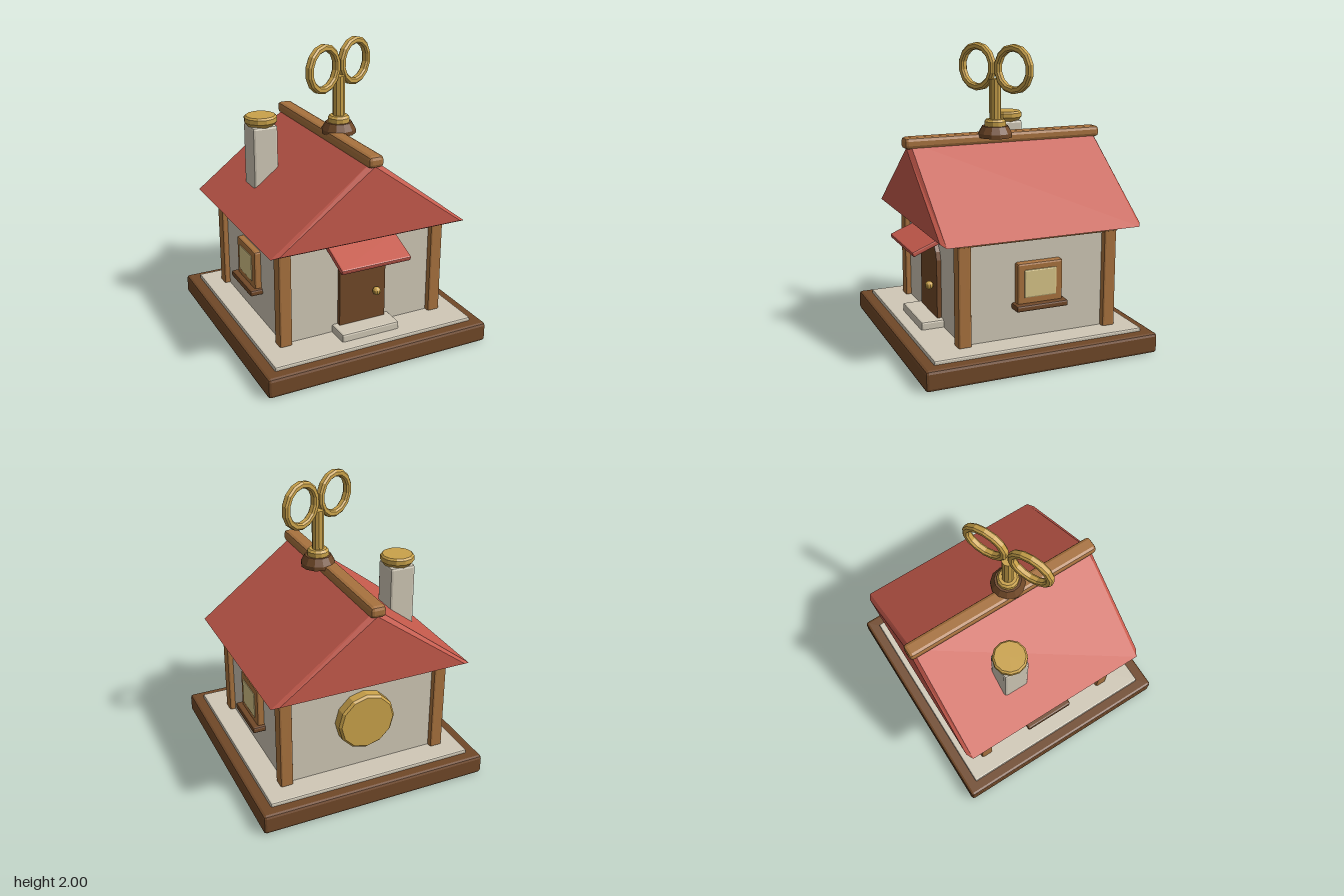
import * as THREE from 'three';
import { RoundedBoxGeometry } from 'three/addons/geometries/RoundedBoxGeometry.js';

const mat = (name, color) => {
  const m = new THREE.MeshStandardMaterial({ color });
  m.name = name;
  return m;
};

export function createModel() {
  const house = new THREE.Group();
  house.name = 'windUpHouse';
  const plaster = mat('plaster', 0xd0c8b6);
  const red = mat('roofRed', 0xc65a4c);
  const wood = mat('wood', 0xa8723e);
  const brown = mat('darkBrown', 0x704828);
  const gold = mat('brass', 0xcaa24a);
  const glass = mat('windowGlow', 0xd8c588);

  // Faceted mesh: every face gets its own normal
  const add = (name, geometry, material, x = 0, y = 0, z = 0, parent = house) => {
    const g = geometry.index ? geometry.toNonIndexed() : geometry;
    g.computeVertexNormals();
    const mesh = new THREE.Mesh(g, material);
    mesh.name = name;
    mesh.position.set(x, y, z);
    parent.add(mesh);
    return mesh;
  };
  // Bevelled box given by its min and max on each axis
  const block = (name, material, [x0, x1], [y0, y1], [z0, z1], r = 0.012, parent = house) =>
    add(name, new RoundedBoxGeometry(x1 - x0, y1 - y0, z1 - z0, 1, r), material,
      (x0 + x1) / 2, (y0 + y1) / 2, (z0 + z1) / 2, parent);
  const lathe = (points, sides) =>
    new THREE.LatheGeometry(points.map(p => new THREE.Vector2(...p)), sides);

  // Ground
  block('base', brown, [-0.8, 0.8], [0, 0.135], [-0.8, 0.8], 0.02);
  block('yard', plaster, [-0.72, 0.72], [0.1, 0.16], [-0.72, 0.72], 0.01);
  block('doorStep', plaster, [-0.21, 0.21], [0.14, 0.212], [0.45, 0.635], 0.012);

  // Walls, corner posts and top beam
  add('walls', new THREE.BoxGeometry(1.12, 0.68, 1.03), plaster, 0, 0.49, -0.035);
  for (const x of [-0.555, 0.555])
    for (const z of [-0.542, 0.474])
      block('cornerPost', wood, [x - 0.045, x + 0.045], [0.15, 0.83], [z - 0.045, z + 0.045], 0.014);
  block('topBeam', wood, [-0.607, 0.607], [0.808, 0.852], [-0.592, 0.523], 0.01);

  // Roof prism with bevelled gable ends, lofted through four triangles
  const triangle = (half, low, high, z) => [[-half, low, z], [half, low, z], [0, high, z]];
  const rings = [
    triangle(0.648, 0.862, 1.34, 0.648), triangle(0.695, 0.846, 1.378, 0.622),
    triangle(0.695, 0.846, 1.378, -0.7), triangle(0.648, 0.862, 1.34, -0.725),
  ];
  const roofPoints = [...rings[0]];
  for (let i = 0; i < 3; i++)
    for (let j = 0; j < 3; j++) {
      const k = (j + 1) % 3;
      const [a, b, c, d] = [rings[i][j], rings[i][k], rings[i + 1][j], rings[i + 1][k]];
      roofPoints.push(a, c, b, b, c, d);
    }
  roofPoints.push(rings[3][0], rings[3][2], rings[3][1]);
  const roof = new THREE.BufferGeometry();
  roof.setAttribute('position', new THREE.Float32BufferAttribute(roofPoints.flat(), 3));
  add('roof', roof, red);
  block('ridgeBeam', wood, [-0.053, 0.053], [1.335, 1.412], [-0.743, 0.67], 0.024);

  // Chimney
  block('chimney', plaster, [-0.485, -0.305], [0.97, 1.43], [-0.315, -0.135], 0.018);
  add('chimneyCap', lathe([[0, 1.42], [0.088, 1.42], [0.112, 1.45], [0.112, 1.48],
    [0.1, 1.492], [0, 1.492]], 12), gold, -0.395, 0, -0.224);

  // Door with arched top, knob and awning
  const arch = new THREE.Shape();
  arch.moveTo(-0.168, 0.2);
  arch.lineTo(0.168, 0.2);
  arch.lineTo(0.168, 0.61);
  arch.quadraticCurveTo(0.155, 0.73, 0, 0.745);
  arch.quadraticCurveTo(-0.155, 0.73, -0.168, 0.61);
  add('door', new THREE.ExtrudeGeometry(arch, { depth: 0.05, bevelEnabled: false, curveSegments: 4 }),
    brown, 0, 0, 0.46);
  add('doorKnob', new THREE.SphereGeometry(0.028, 10, 8), gold, 0.09, 0.422, 0.538);
  const awning = block('awning', red, [-0.25, 0.25], [0.717, 0.753], [0.465, 0.705], 0.01);
  awning.rotation.x = 0.38;

  // Side windows
  for (const side of [-1, 1]) {
    const win = new THREE.Group();
    win.name = side > 0 ? 'leftWindow' : 'rightWindow';
    win.rotation.y = side * Math.PI / 2;
    win.position.z = -0.036;
    house.add(win);
    block('windowFrame', wood, [-0.158, 0.158], [0.37, 0.665], [0.54, 0.606], 0.014, win);
    block('windowPane', glass, [-0.113, 0.113], [0.435, 0.622], [0.58, 0.613], 0.01, win);
    block('windowSill', brown, [-0.18, 0.18], [0.358, 0.4], [0.54, 0.647], 0.012, win);
  }

  // Round brass plate on the back wall
  const plate = add('backPlate', lathe([[0, 0], [0.2, 0], [0.2, 0.065], [0.185, 0.08], [0, 0.08]], 12),
    gold, 0, 0.525, -0.545);
  plate.rotation.x = -Math.PI / 2;

  // Wind-up key
  const key = new THREE.Group();
  key.name = 'windUpKey';
  key.position.set(0.054, 0, 0.046);
  key.rotation.y = 0.436;
  house.add(key);
  add('keySocket', lathe([[0, 1.385], [0.115, 1.385], [0.115, 1.412], [0.088, 1.46], [0, 1.46]], 12),
    brown, 0, 0, 0, key);
  add('keyCollar', lathe([[0, 1.45], [0.073, 1.45], [0.073, 1.49], [0.06, 1.505], [0, 1.505]], 12),
    gold, 0, 0, 0, key);
  add('keyStem', new THREE.CylinderGeometry(0.04, 0.04, 0.28, 10), gold, 0, 1.63, 0, key);
  const band = [[0.115, 0.014], [0.115, -0.014], [0.125, -0.025], [0.148, -0.025], [0.16, -0.014],
    [0.16, 0.014], [0.148, 0.025], [0.125, 0.025], [0.115, 0.014]];
  for (const side of [-1, 1]) {
    const ring = add('keyRing', lathe(band, 14), gold, side * 0.162, 1.842, 0, key);
    ring.rotation.x = Math.PI / 2;
  }
  return house;
}
